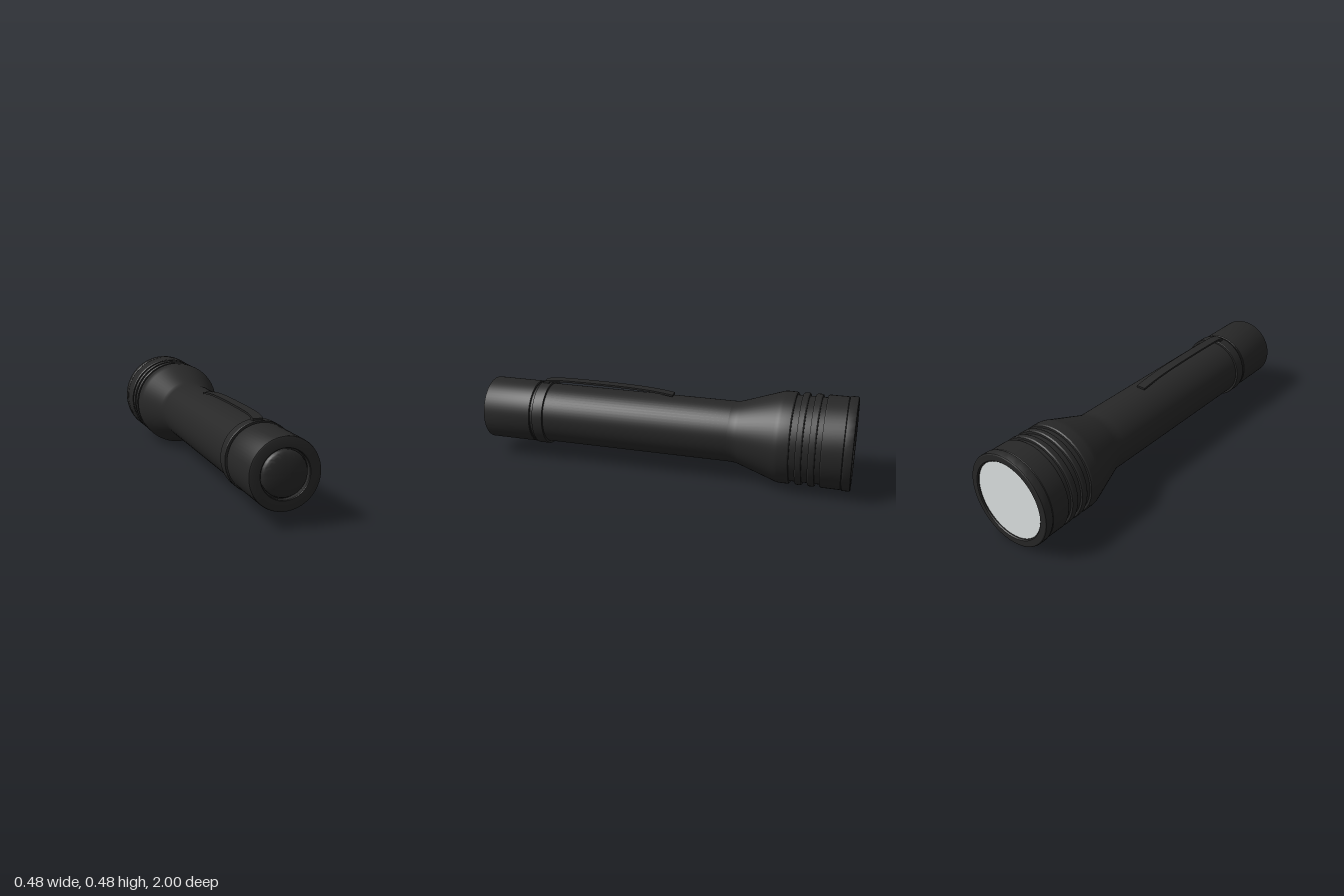
import * as THREE from 'three';
import { toCreasedNormals } from 'three/addons/utils/BufferGeometryUtils.js';

const AXIS_Y = 0.241;

export function createModel() {
  const model = new THREE.Group();
  model.name = 'flashlight';

  const black = new THREE.MeshStandardMaterial({ color: 0x272727 });
  black.name = 'matte black';
  const glass = new THREE.MeshStandardMaterial({ color: 0xdde2e2 });
  glass.name = 'pale glass';

  // Turned part: profile of [radius, z], listed from back to front
  function turned(name, profile, material = black) {
    const points = profile.map(([r, z]) => new THREE.Vector2(r, z));
    const geometry = new THREE.LatheGeometry(points, 64);
    geometry.rotateX(Math.PI / 2);
    const mesh = new THREE.Mesh(toCreasedNormals(geometry, 0.5), material);
    mesh.name = name;
    mesh.position.y = AXIS_Y;
    model.add(mesh);
  }

  // Bezel around the lens, with rounded rims
  turned('bezel', [
    [0.2, -0.985], [0.2, -0.995], [0.205, -1], [0.234, -1], [0.239, -0.997],
    [0.241, -0.992], [0.241, -0.96], [0.238, -0.955], [0.232, -0.955],
  ]);
  turned('lens', [[0, -0.99], [0.201, -0.99]], glass);

  // Head with cooling grooves, tapering into the handle
  const head = [[0.233, -0.956], [0.238, -0.951]];
  for (const [start, end] of [[-0.847, -0.822], [-0.787, -0.757], [-0.724, -0.694]]) {
    head.push([0.238, start - 0.007], [0.234, start], [0.223, start],
      [0.223, end], [0.234, end], [0.238, end + 0.007]);
  }
  head.push([0.238, -0.64], [0.236, -0.627], [0.231, -0.612], [0.168, -0.425],
    [0.163, -0.408], [0.16, -0.385], [0.16, -0.37]);
  turned('head', head);

  turned('handle', [[0.16, -0.37], [0.16, 0.715]]);

  // Clip collar and tail cap
  turned('clipRing', [
    [0.158, 0.636], [0.171, 0.636], [0.173, 0.639], [0.173, 0.691], [0.171, 0.694], [0.158, 0.694],
  ]);
  turned('tailCap', [
    [0.157, 0.71], [0.165, 0.71], [0.168, 0.714], [0.168, 0.973], [0.166, 0.979],
    [0.16, 0.982], [0.117, 0.982], [0.114, 0.979], [0.114, 0.955], [0.1, 0.955],
  ]);

  // Domed rubber switch
  const dome = [[0.107, 0.95], [0.107, 0.968]];
  for (let i = 0; i <= 8; i++) {
    const a = (i / 8) * Math.PI / 2;
    dome.push([0.105 * Math.cos(a), 0.972 + 0.028 * Math.sin(a)]);
  }
  turned('tailButton', dome);

  // Pocket clip: a bent strip, thickened from its side-view centreline (z, y)
  const line = new THREE.CatmullRomCurve3([
    [0.68, 0.416], [0.665, 0.422], [0.62, 0.429], [0.54, 0.432],
    [0.3, 0.432], [0.12, 0.427], [0.03, 0.42], [-0.05, 0.41],
  ].map(([z, y]) => new THREE.Vector3(z, y, 0))).getPoints(32);
  const half = 0.005;
  const outline = [
    ...line.map((p) => new THREE.Vector2(p.x, p.y + half)),
    ...line.slice().reverse().map((p) => new THREE.Vector2(p.x, p.y - half)),
  ];
  const strip = new THREE.ExtrudeGeometry(new THREE.Shape(outline), { depth: 0.05, bevelEnabled: false });
  strip.rotateY(-Math.PI / 2);
  const clip = new THREE.Mesh(toCreasedNormals(strip, 0.5), black);
  clip.name = 'pocketClip';
  clip.position.x = 0.017;
  model.add(clip);

  // Small foot joining the clip to its collar
  const foot = new THREE.Mesh(new THREE.BoxGeometry(0.05, 0.012, 0.03), black);
  foot.name = 'clipFoot';
  foot.position.set(-0.008, 0.415, 0.663);
  model.add(foot);

  return model;
}
